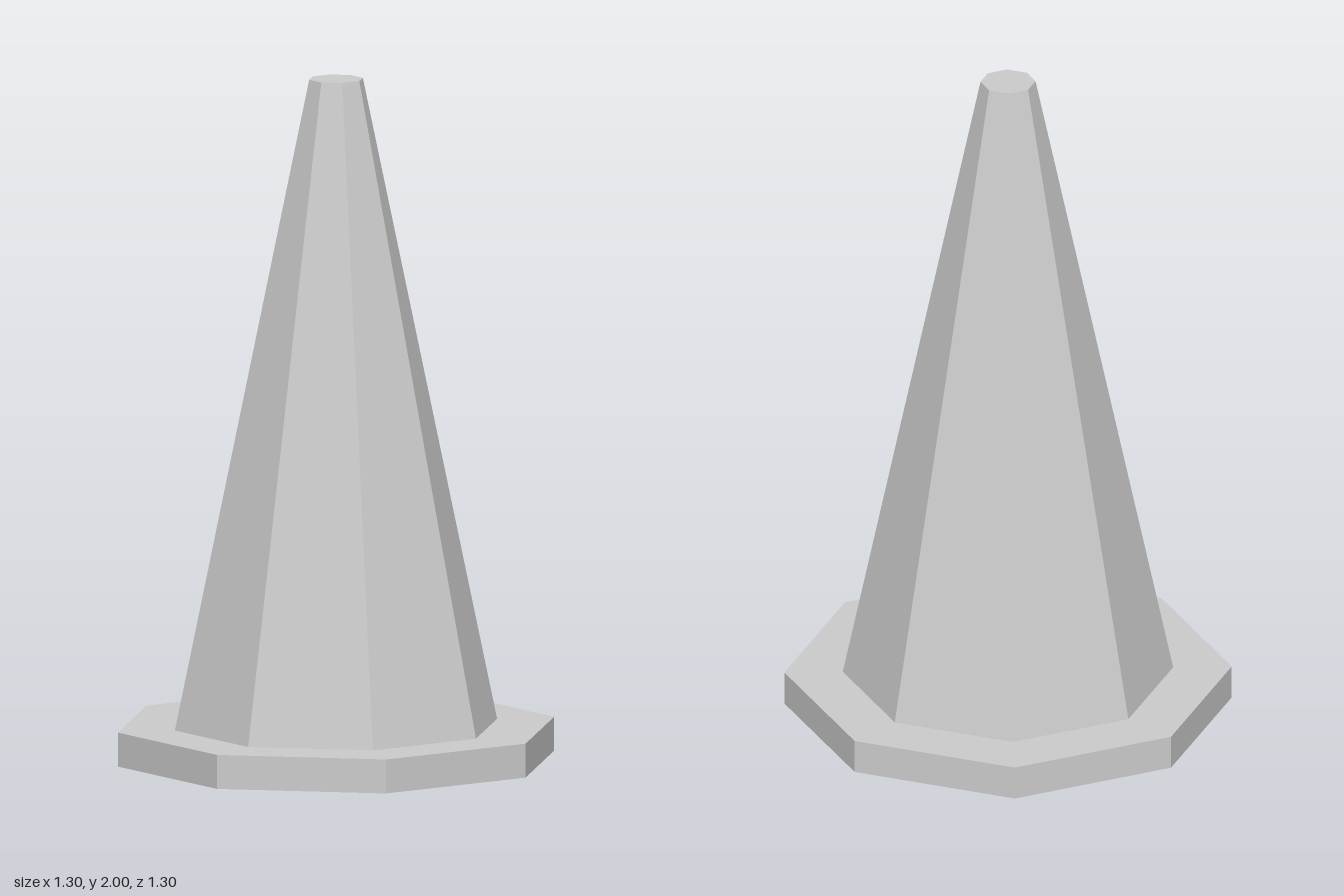
import * as THREE from 'three';

const SIDES = 8;
const BASE_RADIUS = 0.65, BASE_HEIGHT = 0.1;
const CONE_RADIUS = 0.48, TIP_RADIUS = 0.08, HEIGHT = 2;

export function createModel() {
  const group = new THREE.Group();
  group.name = 'trafficCone';

  const grey = new THREE.MeshStandardMaterial({
    color: 0xcccccc, flatShading: true, side: THREE.DoubleSide,
  });
  grey.name = 'light grey';

  const add = (name, geometry, y) => {
    const flat = geometry.toNonIndexed();
    flat.computeVertexNormals();
    const mesh = new THREE.Mesh(flat, grey);
    mesh.name = name;
    mesh.position.y = y;
    group.add(mesh);
  };

  // Hollow shell, open underneath: rim wall, flange and tapered body
  add('baseRim', new THREE.CylinderGeometry(BASE_RADIUS, BASE_RADIUS, BASE_HEIGHT, SIDES, 1, true), BASE_HEIGHT / 2);
  add('baseFlange', new THREE.RingGeometry(CONE_RADIUS, BASE_RADIUS, SIDES).rotateX(-Math.PI / 2), BASE_HEIGHT);
  add('coneBody', new THREE.CylinderGeometry(TIP_RADIUS, CONE_RADIUS, HEIGHT - BASE_HEIGHT, SIDES, 1, true), (HEIGHT + BASE_HEIGHT) / 2);

  // Flat lid closing the tip
  add('tipCap', new THREE.CircleGeometry(TIP_RADIUS, SIDES).rotateX(-Math.PI / 2), HEIGHT);

  return group;
}
